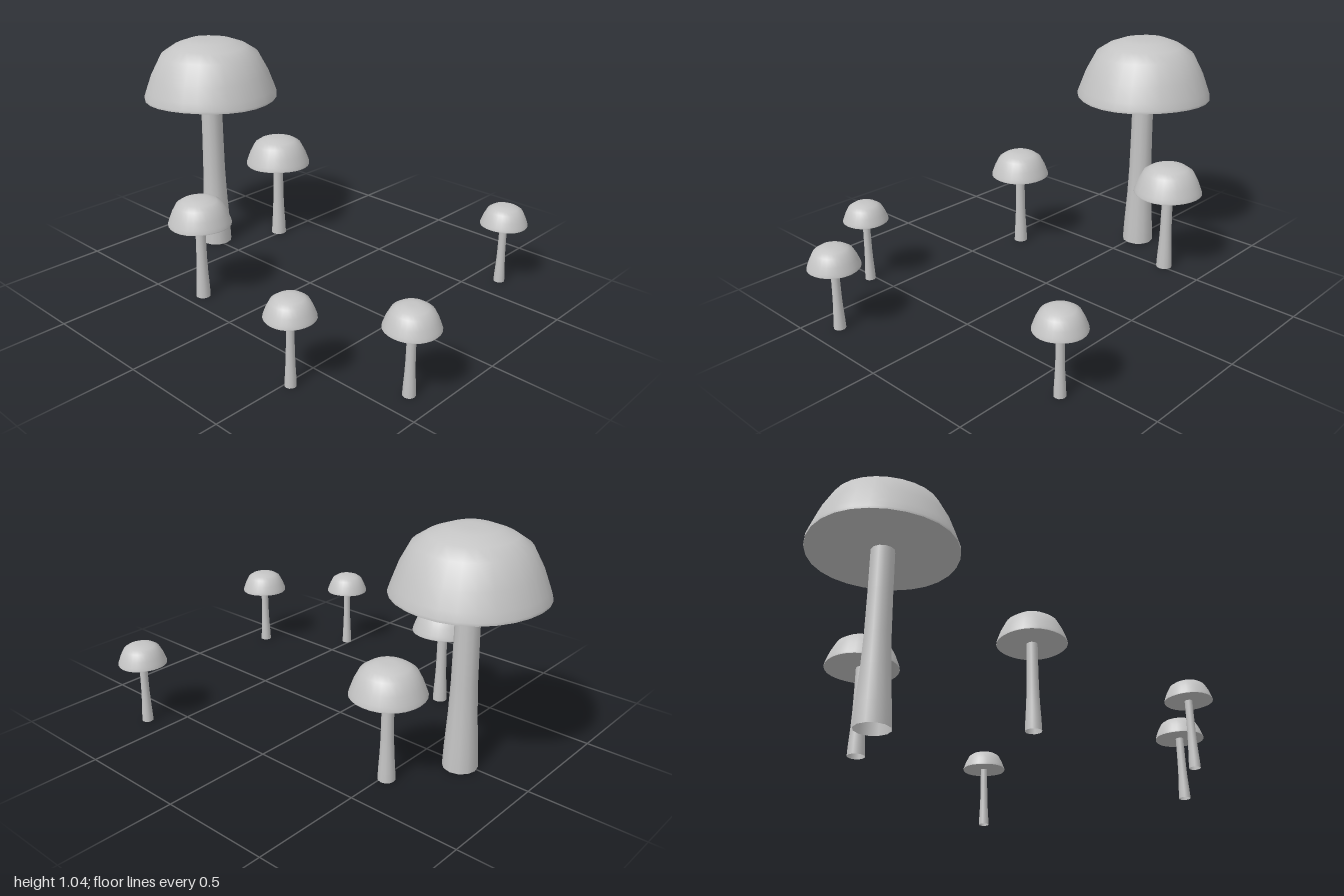
import * as THREE from 'three';

// x, z, cap radius, rim height
const MUSHROOMS = [
  [0.015, -0.682, 0.319, 0.768],
  [0.3, -0.517, 0.159, 0.387],
  [-0.42, -0.267, 0.14, 0.36],
  [-0.645, 0.52, 0.103, 0.301],
  [-0.38, 0.883, 0.112, 0.291],
  [0.635, 0.617, 0.107, 0.291],
];

// Profiles as [radius, height], relative to the cap radius or the stem height
const DOME = [[1, -0.005], [1, 0.03], [0.965, 0.13], [0.88, 0.36], [0.73, 0.645],
  [0.55, 0.765], [0.34, 0.845], [0.15, 0.862], [0, 0.86]];
const UNDERSIDE = [[0, 0.01], [0.5, 0.01], [1, -0.005]];
const STEM = [[0.235, 0], [0.222, 0.12], [0.19, 0.32], [0.172, 0.5], [0.163, 0.75], [0.16, 1]];

function lathe(profile, sx, sy, sides) {
  return new THREE.LatheGeometry(profile.map(([r, y]) => new THREE.Vector2(r * sx, y * sy)), sides);
}

// Gentle unevenness that keeps the rim and crown from being perfectly level
function ripple(geometry, radius, phase) {
  const p = geometry.attributes.position;
  for (let i = 0; i < p.count; i++) {
    const x = p.getX(i), z = p.getZ(i);
    const a = Math.atan2(z, x), r = Math.hypot(x, z) / radius;
    p.setY(i, p.getY(i) + radius * 0.011 * r * Math.sin(3 * a + phase));
  }
  return geometry;
}

export function createModel() {
  const model = new THREE.Group();
  model.name = 'mushroomCluster';
  const grey = new THREE.MeshStandardMaterial({ color: 0xc4c4c4, side: THREE.DoubleSide });
  grey.name = 'light grey';

  MUSHROOMS.forEach(([x, z, radius, rim], i) => {
    const mushroom = new THREE.Group();
    mushroom.name = 'mushroom' + (i + 1);
    mushroom.position.set(x, 0, z);
    const add = (name, geometry, y) => {
      const mesh = new THREE.Mesh(geometry, grey);
      mesh.name = name;
      mesh.position.y = y;
      mushroom.add(mesh);
    };
    // Flared open stem, domed cap and flat underside
    add('stem', lathe(STEM, radius, rim + radius * 0.02, 12), 0);
    add('cap', ripple(lathe(DOME, radius, radius, 28), radius, i), rim);
    add('capUnderside', ripple(lathe(UNDERSIDE, radius, radius, 28), radius, i), rim);
    model.add(mushroom);
  });
  return model;
}
